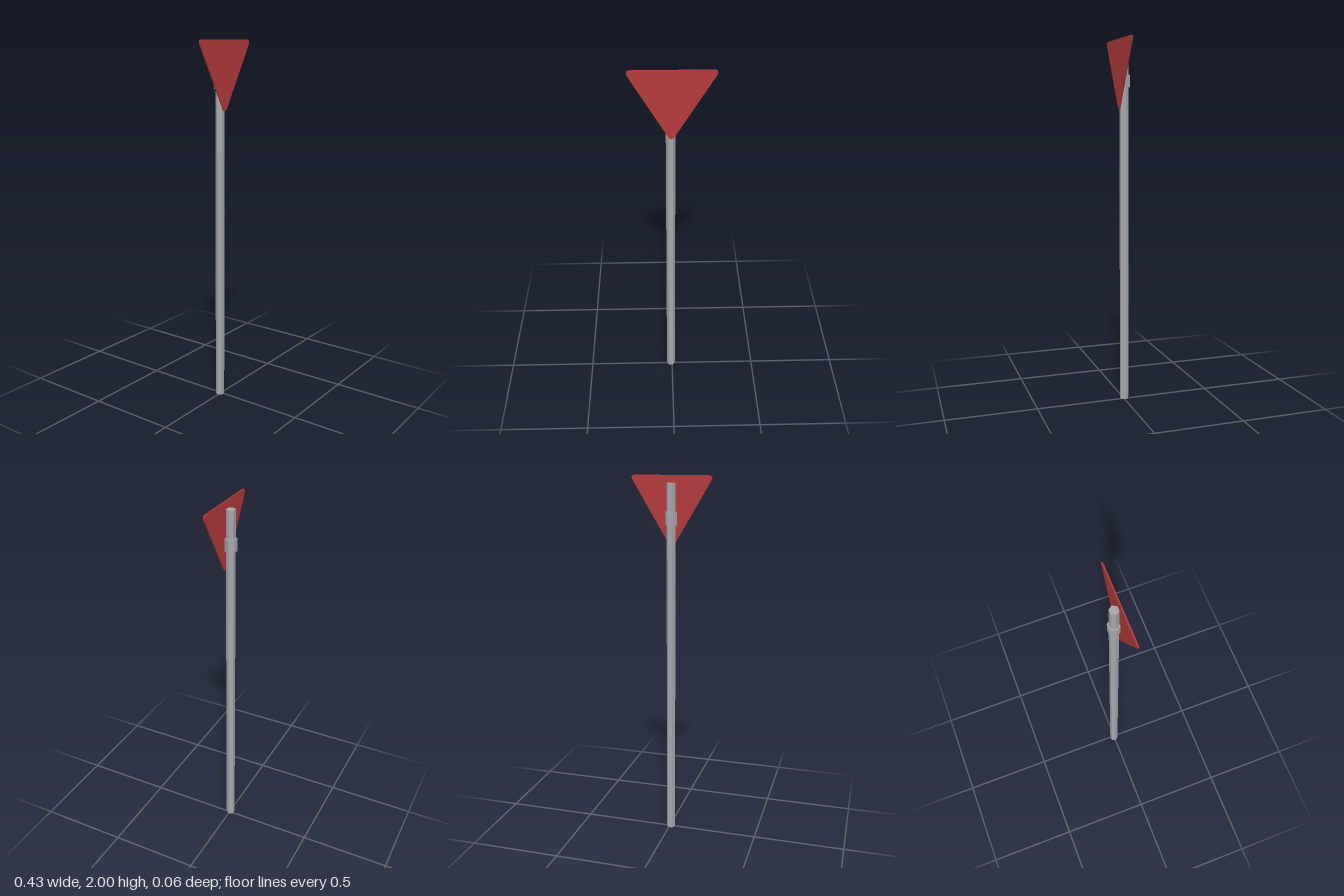
import * as THREE from 'three';

const POLE_X = -0.007, POLE_Z = -0.003;

// Upright six-sided bar with a flat face to the front
function hexBar(name, radius, bottom, top, material) {
  const geometry = new THREE.CylinderGeometry(radius, radius, top - bottom, 6, 1, false, Math.PI / 2);
  const mesh = new THREE.Mesh(geometry, material);
  mesh.name = name;
  mesh.position.set(POLE_X, (bottom + top) / 2, POLE_Z);
  return mesh;
}

// Polygon whose corners are cut back and rounded
function roundedPolygon(corners, cut) {
  const shape = new THREE.Shape();
  const n = corners.length;
  corners.forEach((c, i) => {
    const toward = (p) => c.clone().add(p.clone().sub(c).setLength(cut));
    const a = toward(corners[(i + n - 1) % n]);
    const b = toward(corners[(i + 1) % n]);
    if (i === 0) shape.moveTo(a.x, a.y);
    else shape.lineTo(a.x, a.y);
    shape.quadraticCurveTo(c.x, c.y, b.x, b.y);
  });
  shape.closePath();
  return shape;
}

export function createModel() {
  const steel = new THREE.MeshStandardMaterial({ color: 0xa5a6aa });
  steel.name = 'galvanised grey';
  steel.flatShading = true;
  const red = new THREE.MeshStandardMaterial({ color: 0xb43a3a });
  red.name = 'sign red';
  red.flatShading = true;

  const model = new THREE.Group();
  model.name = 'triangularRoadSign';

  // Post and the clamp that holds the plate
  model.add(hexBar('pole', 0.0245, 0, 1.963, steel));
  model.add(hexBar('clamp', 0.0325, 1.746, 1.814, steel));

  // Downward-pointing triangular plate
  const corners = [
    new THREE.Vector2(-0.229, 2),
    new THREE.Vector2(-0.004, 1.618),
    new THREE.Vector2(0.228, 2),
  ];
  const plate = new THREE.Mesh(
    new THREE.ExtrudeGeometry(roundedPolygon(corners, 0.034), {
      depth: 0.007, bevelEnabled: false, curveSegments: 4,
    }), red);
  plate.name = 'signPlate';
  plate.position.z = 0.022;
  model.add(plate);

  return model;
}
